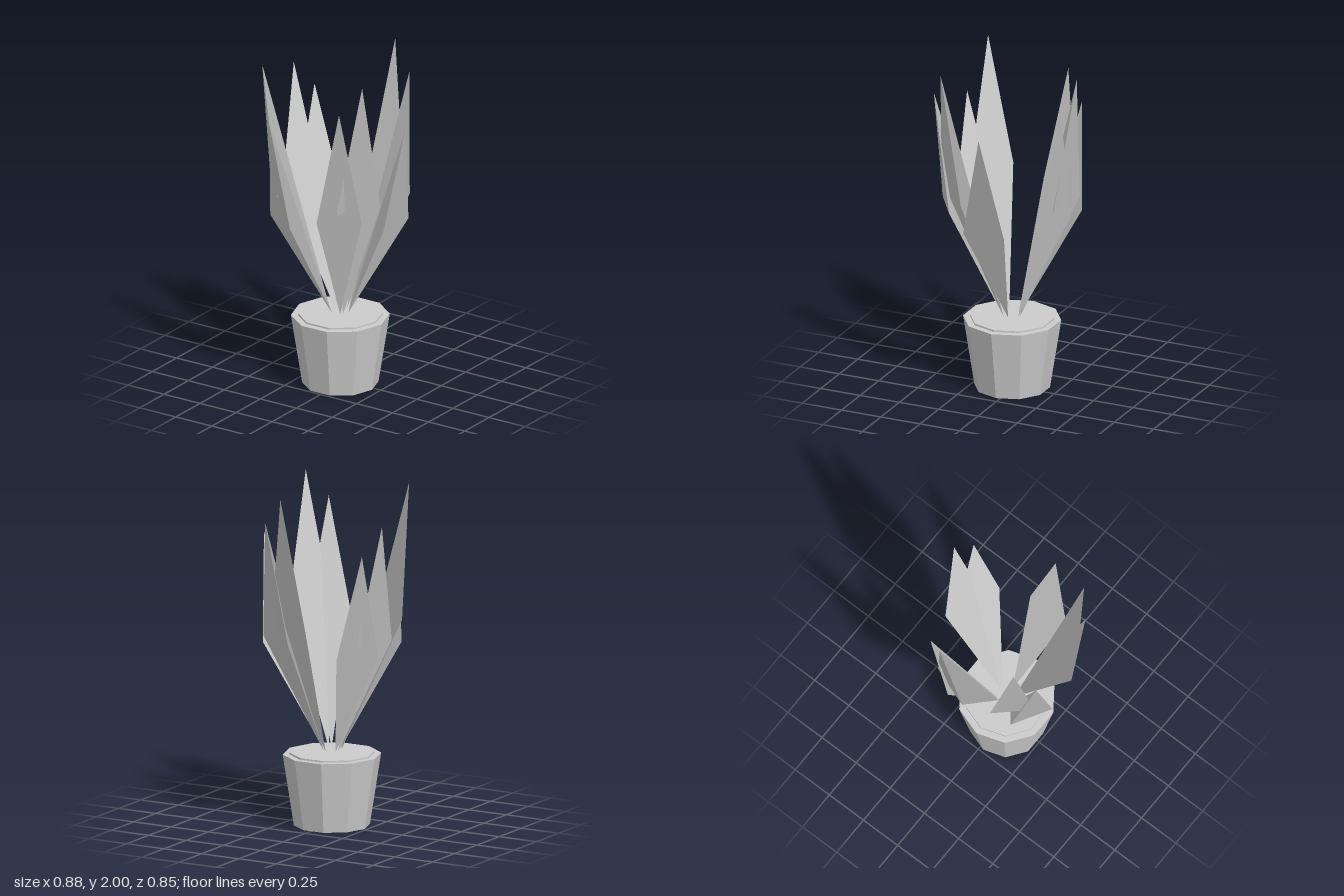
import * as THREE from 'three';

const material = new THREE.MeshStandardMaterial({ color: 0xcccccc, flatShading: true });
const leafMaterial = new THREE.MeshStandardMaterial({ color: 0xcccccc });
const BASE_Y = 0.44;

// Ten-sided drum with flat sides facing front and back
function drum(name, rTop, rBottom, y0, y1) {
  const geometry = new THREE.CylinderGeometry(rTop, rBottom, y1 - y0, 10);
  geometry.rotateY(Math.PI / 10);
  geometry.translate(0, (y0 + y1) / 2, 0);
  const mesh = new THREE.Mesh(geometry, material);
  mesh.name = name;
  return mesh;
}

// Pointed leaf leaning along +x: kite-shaped outer side, ridged inner side
function leafGeometry(tipY) {
  const base = [0.055, BASE_Y, 0];
  const tip = [0.455, tipY, 0];
  const midY = (BASE_Y + tipY) / 2;
  const right = [0.385, midY, 0.13];
  const left = [0.385, midY, -0.13];
  const corners = [
    base, left, right, tip, right, left, // outer side
    base, right, tip, base, tip, left, // inner side
  ];
  // One even normal for each side
  const n = new THREE.Vector3(tipY - BASE_Y, -0.4, 0).normalize();
  const normals = corners.flatMap((_, i) => (i < 6 ? [n.x, n.y, 0] : [-n.x, -n.y, 0]));
  const geometry = new THREE.BufferGeometry();
  geometry.setAttribute('position', new THREE.Float32BufferAttribute(corners.flat(), 3));
  geometry.setAttribute('normal', new THREE.Float32BufferAttribute(normals, 3));
  return geometry;
}

export function createModel() {
  const model = new THREE.Group();
  model.name = 'pottedPlant';

  // Pot and soil
  model.add(drum('pot', 0.285, 0.22, 0, 0.42));
  model.add(drum('soil', 0.245, 0.245, 0.41, 0.43));

  // Leaves in three heights, at angles in degrees around the pot
  const sizes = [
    { name: 'shortLeaf', tipY: 1.68, angles: [0, 120, 217] },
    { name: 'middleLeaf', tipY: 1.84, angles: [57, 200, 297] },
    { name: 'tallLeaf', tipY: 2.0, angles: [40, 137, 280] },
  ];
  for (const { name, tipY, angles } of sizes) {
    const geometry = leafGeometry(tipY);
    for (const angle of angles) {
      const leaf = new THREE.Mesh(geometry, leafMaterial);
      leaf.name = name;
      leaf.rotation.y = -THREE.MathUtils.degToRad(angle);
      model.add(leaf);
    }
  }

  // The leaves spread unevenly, so the pot sits slightly off centre
  model.position.set(-0.015, 0, 0.025);
  const root = new THREE.Group();
  root.add(model);
  return root;
}
